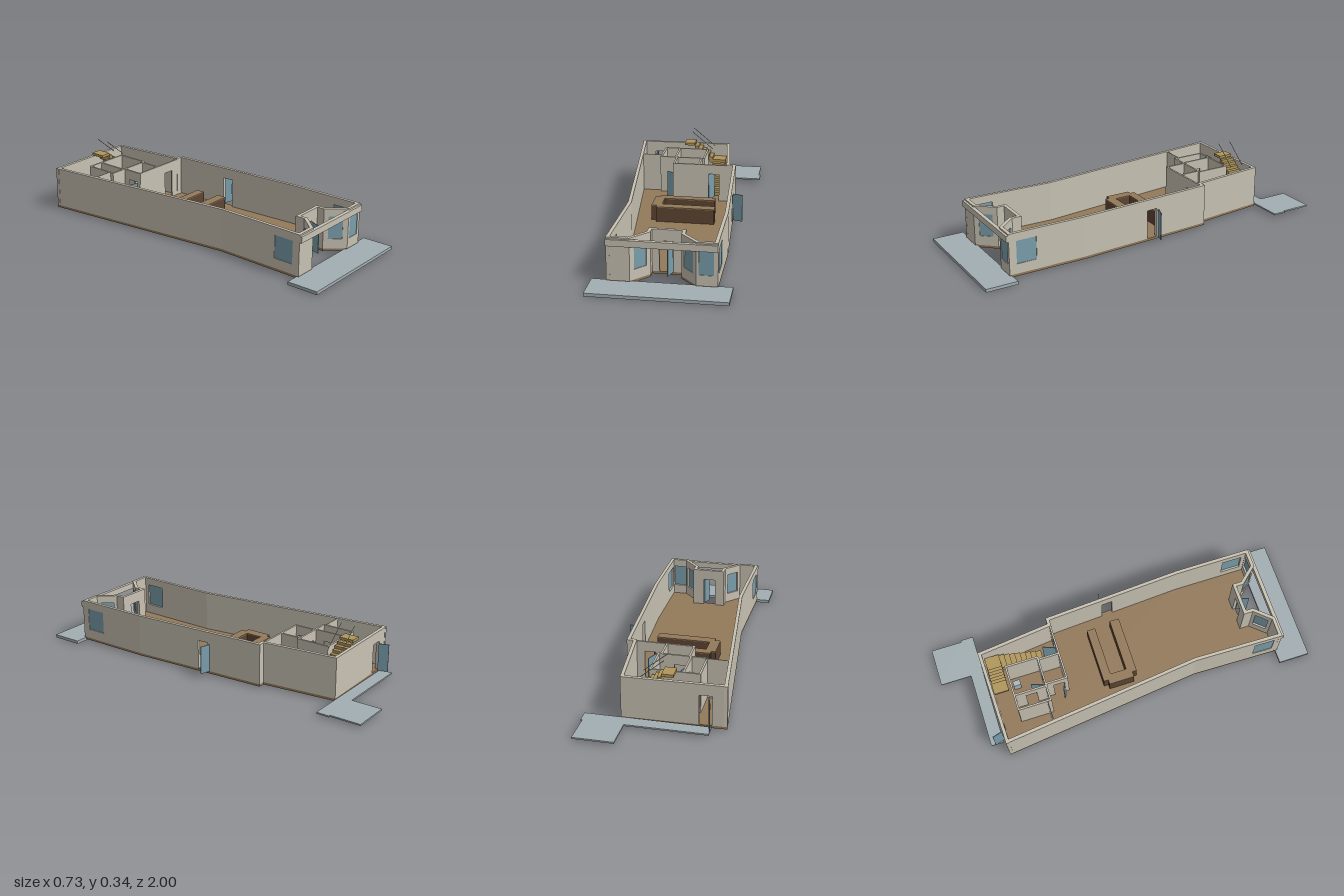
import * as THREE from 'three';

const mat = (name, color) => {
  const m = new THREE.MeshStandardMaterial({ color });
  m.name = name;
  return m;
};

export function createModel() {
  const root = new THREE.Group();
  root.name = 'buildingFloor';
  const wallMat = mat('wall plaster', 0xc8c2b3);
  const floorMat = mat('floor tan', 0x93795a);
  const counterMat = mat('counter brown', 0x5f4533);
  const glassMat = mat('glass blue', 0x7a9eac);
  const paveMat = mat('paving grey', 0xa2aeb2);
  const stairMat = mat('stair gold', 0xb0965c);
  const basinMat = mat('basin grey', 0xa9bac4);
  const BASE = 0.02, TOP = 0.24, T = 0.018;

  const add = (parent, name, geo, m) => {
    const mesh = new THREE.Mesh(geo, m);
    mesh.name = name;
    parent.add(mesh);
    return mesh;
  };
  // box given by its minimum and maximum corners
  const box = (parent, name, m, x0, x1, y0, y1, z0, z1) => {
    const b = add(parent, name, new THREE.BoxGeometry(x1 - x0, y1 - y0, z1 - z0), m);
    b.position.set((x0 + x1) / 2, (y0 + y1) / 2, (z0 + z1) / 2);
    return b;
  };
  // horizontal slab from [x, z] corners
  const slab = (name, m, pts, y0, y1) => {
    const shape = new THREE.Shape(pts.map(([x, z]) => new THREE.Vector2(x, -z)));
    const geo = new THREE.ExtrudeGeometry(shape, { depth: y1 - y0, bevelEnabled: false });
    geo.rotateX(-Math.PI / 2);
    add(root, name, geo, m).position.y = y0;
  };
  // group whose x axis runs from p to q and whose z axis points outward
  const along = (name, p, q) => {
    const g = new THREE.Group();
    g.name = name;
    g.position.set(p[0], 0, p[1]);
    g.rotation.y = Math.atan2(p[1] - q[1], q[0] - p[0]);
    root.add(g);
    return [g, Math.hypot(q[0] - p[0], q[1] - p[1])];
  };
  // straight wall; openings are [start, end, sill, head, glazed]
  const wall = (name, p, q, { t = T, shift = 0, openings = [], e0 = 0, e1 = 0, top = TOP } = {}) => {
    const [g, len] = along(name, p, q);
    const z0 = shift - t, z1 = shift;
    let s = -e0;
    for (const [a, b, sill, head, glazed] of openings) {
      box(g, 'pier', wallMat, s, a, BASE, top, z0, z1);
      box(g, 'lintel', wallMat, a, b, head, top, z0, z1);
      if (sill > BASE) box(g, 'sill', wallMat, a, b, BASE, sill, z0, z1);
      if (glazed) box(g, 'windowPane', glassMat, a, b, sill, head, z1 - 0.008, z1 - 0.003);
      s = b;
    }
    box(g, 'pier', wallMat, s, len + e1, BASE, top, z0, z1);
  };
  const door = (name, p, q) => {
    const [g, len] = along(name, p, q);
    box(g, 'doorLeaf', glassMat, 0, len, BASE, 0.173, -0.002, 0.002);
  };

  // floor plate and outer walls
  const outline = [
    [-0.25, 0.84], [-0.135, 0.84], [-0.05, 0.745], [-0.05, 0.705], [0.1, 0.705],
    [0.1, 0.745], [0.185, 0.84], [0.29, 0.84], [0.29, 0.42], [0.245, -0.35],
    [0.21, -0.35], [0.165, -0.755], [-0.365, -0.745], [-0.24, 0.35],
  ];
  slab('floor', floorMat, outline, 0.007, BASE);
  const win = (a, b) => [a, b, 0.073, 0.197, true];
  const gap = (a, b) => [a, b, BASE, 0.18, false];
  const openings = {
    1: [win(0.027, 0.102)], 3: [gap(0.035, 0.105)], 5: [win(0.025, 0.1)],
    6: [win(0.012, 0.085)], 7: [win(0.04, 0.15)], 8: [gap(0.39, 0.45)],
    11: [gap(0.39, 0.455)], 13: [win(0.34, 0.45)],
  };
  const n = outline.length;
  // extra length that closes the inner side of a corner turning into the building
  const mitre = (i) => {
    const [a, b, c] = [outline[(i + n - 1) % n], outline[i % n], outline[(i + 1) % n]];
    const u = [b[0] - a[0], b[1] - a[1]], v = [c[0] - b[0], c[1] - b[1]];
    const turn = Math.atan2(u[0] * v[1] - u[1] * v[0], u[0] * v[0] + u[1] * v[1]);
    return turn > 0 ? T * Math.tan(turn / 2) : 0;
  };
  outline.forEach((p, i) => wall('outerWall', p, outline[(i + 1) % n],
    { openings: openings[i], e0: mitre(i), e1: mitre(i + 1) }));
  box(root, 'frontBeam', wallMat, -0.25, 0.29, 0.198, 0.232, 0.832, 0.852);

  // open outer doors
  door('frontDoor', [0.052, 0.705], [0.035, 0.762]);
  door('sideDoor', [0.265, -0.04], [0.317, -0.024]);
  door('backDoor', [-0.275, -0.752], [-0.29, -0.805]);

  // paving outside
  box(root, 'frontPaving', paveMat, -0.325, 0.362, 0, 0.017, 0.83, 1);
  slab('backPaving', paveMat, [[-0.29, -0.76], [0.35, -0.76], [0.35, -0.83],
    [0.34, -0.83], [0.34, -1], [0.13, -1], [0.13, -0.83], [-0.29, -0.83]], 0.012, 0.02);

  // back rooms
  const inner = (p, q, ...o) => wall('partition', p, q, { t: 0.01, shift: 0.005, openings: o, top: 0.235 });
  inner([-0.115, -0.338], [0.205, -0.338], gap(0.205, 0.265));
  inner([-0.112, -0.455], [-0.112, -0.335], gap(0.04, 0.1));
  inner([0.032, -0.455], [0.032, -0.335]);
  inner([-0.205, -0.455], [0.05, -0.455], gap(0.11, 0.17));
  inner([-0.205, -0.635], [-0.205, -0.45]);
  inner([-0.205, -0.632], [0.05, -0.632]);
  inner([0.046, -0.635], [0.046, -0.45]);
  inner([-0.122, -0.632], [-0.122, -0.455], gap(0.06, 0.12));
  wall('partition', [-0.325, -0.47], [-0.205, -0.47], { t: 0.004 });
  door('roomDoor', [-0.07, -0.53], [-0.095, -0.46]);
  door('roomDoor', [0.115, -0.41], [0.09, -0.343]);
  door('roomDoor', [-0.155, -0.37], [-0.115, -0.355]);
  for (const [x, z] of [[-0.085, -0.61], [-0.008, -0.6]])
    box(root, 'basin', basinMat, x - 0.015, x + 0.015, BASE, 0.08, z - 0.02, z + 0.02);

  // U-shaped counter with a lighter top
  const counter = [
    [0.155, -0.145], [-0.155, -0.145], [-0.155, -0.12], [-0.18, -0.12], [-0.18, 0.02],
    [-0.15, 0.02], [-0.15, 0.045], [0.17, 0.045], [0.17, -0.008], [-0.125, -0.008],
    [-0.125, -0.098], [0.155, -0.098],
  ];
  slab('counterBody', counterMat, counter, BASE, 0.1);
  slab('counterTop', floorMat, counter, 0.1, 0.105);

  // stair: long flight to the back, corner landing, short flight sideways
  const RISE = 0.016;
  const step = (k, x0, x1, z0, z1) => box(root, 'stairStep', stairMat, x0, x1,
    Math.max(BASE, BASE + (k - 2) * RISE), BASE + k * RISE + 0.003, z0, z1);
  for (let i = 0; i < 8; i++) {
    const z = -0.42 - i * 0.02875;
    step(i + 1, 0.075, 0.15, z - 0.02875, z);
  }
  step(9, 0.075, 0.15, -0.73, -0.65);
  for (let i = 0; i < 5; i++) {
    const x = 0.075 - i * 0.022;
    step(10 + i, x - 0.022, x, -0.73, -0.65);
  }
  box(root, 'topLanding', stairMat, -0.095, -0.035, 0.249, 0.264, -0.73, -0.65);

  // sloping handrails on both sides of the short flight
  for (const z of [-0.727, -0.65]) {
    const rail = new THREE.LineCurve3(new THREE.Vector3(-0.05, 0.336, z), new THREE.Vector3(0.075, 0.232, z));
    add(root, 'handrail', new THREE.TubeGeometry(rail, 1, 0.002, 6), wallMat);
  }
  return root;
}
